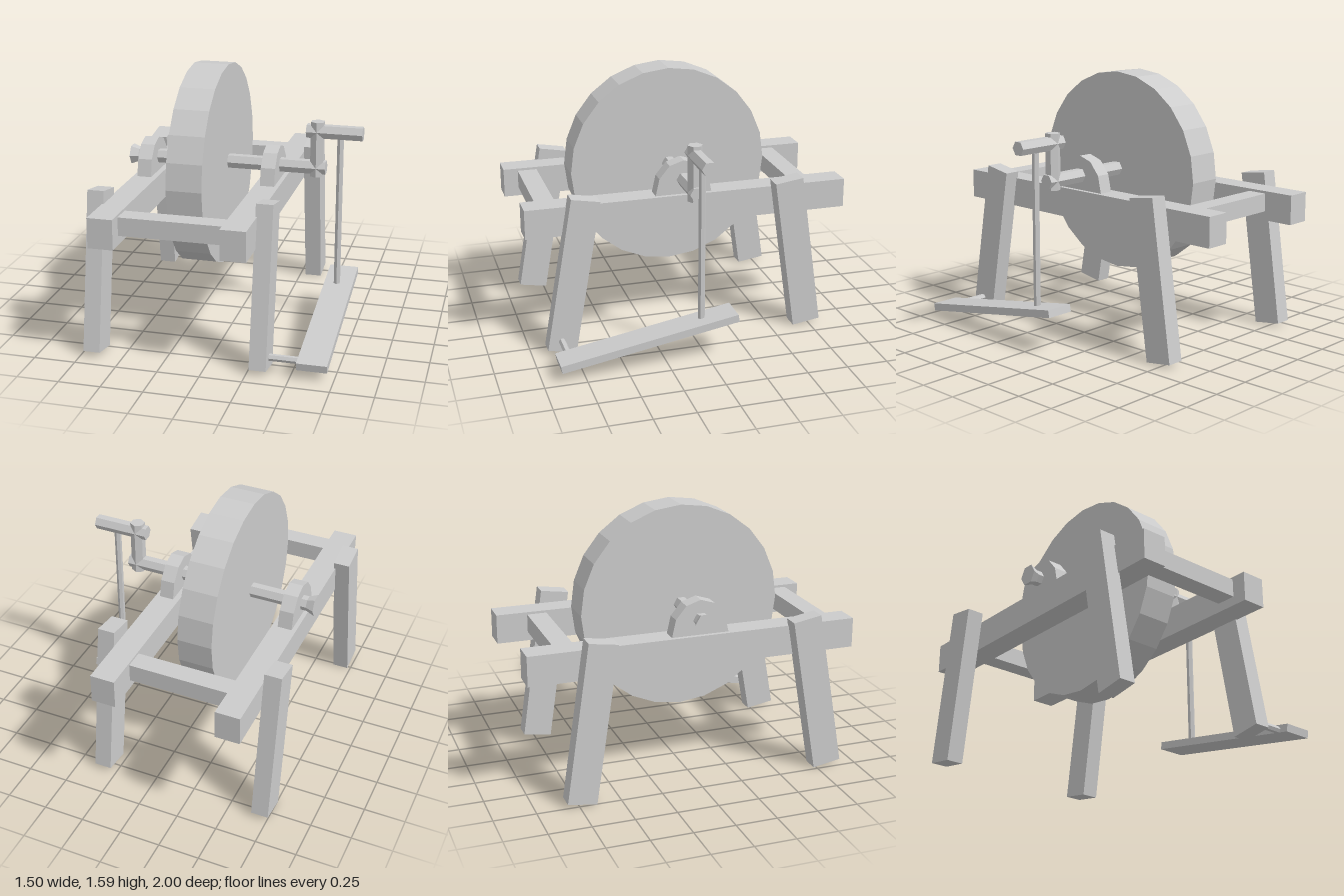
import * as THREE from 'three';

export function createModel() {
  const model = new THREE.Group();
  model.name = 'treadleGrindstone';
  const material = new THREE.MeshStandardMaterial({ color: 0xcccccc, flatShading: true });

  const MID = -0.1825; // the frame is mirrored about this x
  const AXLE_Z = 0.03;

  function add(name, geometry, x, y, z, tilt = 0) {
    const mesh = new THREE.Mesh(geometry, material);
    mesh.name = name;
    mesh.position.set(x, y, z);
    mesh.rotation.x = tilt;
    model.add(mesh);
    return mesh;
  }
  const box = (w, h, d) => new THREE.BoxGeometry(w, h, d);

  // Cylinder lying along x from x0 to x1 (r0 at x0, r1 at x1)
  function barX(name, x0, x1, y, z, r0, r1 = r0, sides = 6) {
    const geometry = new THREE.CylinderGeometry(r0, r1, x1 - x0, sides).rotateZ(Math.PI / 2);
    return add(name, geometry, (x0 + x1) / 2, y, z);
  }
  // Upright hexagonal rod from y0 to y1
  function barY(name, x, y0, y1, z, r) {
    return add(name, new THREE.CylinderGeometry(r, r, y1 - y0, 6), x, (y0 + y1) / 2, z);
  }
  // Leg whose centre line runs from (yTop, zTop) to (yFoot, zFoot)
  function leg(name, x, width, yTop, zTop, yFoot, zFoot) {
    const dy = yTop - yFoot, dz = zTop - zFoot;
    add(name, box(width, Math.hypot(dy, dz), 0.175), x,
      (yTop + yFoot) / 2, (zTop + zFoot) / 2, Math.atan2(dz, dy));
  }

  // Half-round bearing block, six facets over the top
  const arch = new THREE.Shape();
  for (let i = 0; i <= 6; i++) {
    const a = (i / 6) * Math.PI;
    const px = 0.174 * Math.cos(a), py = 0.21 * Math.sin(a);
    if (i === 0) arch.moveTo(px, py);
    else arch.lineTo(px, py);
  }
  arch.closePath();
  const bearing = new THREE.ExtrudeGeometry(arch, { depth: 0.088, bevelEnabled: false });
  bearing.translate(0, 0, -0.044).rotateY(Math.PI / 2);

  // Rails, bearings and legs on both sides
  for (const [side, s] of [['left', 1], ['right', -1]]) {
    add(side + 'Rail', box(0.15, 0.18, 2), MID + s * 0.3825, 0.81, 0);
    add(side + 'Bearing', bearing, MID + s * 0.387, 0.9, AXLE_Z);
    leg(side + 'FrontLeg', MID + s * 0.4985, 0.1, 0.959, 0.654, 0.016, 0.82);
    leg(side + 'BackLeg', MID + s * 0.52, 0.105, 0.963, -0.593, 0.014, -0.733);
  }

  // Cross bars between the rails
  add('frontCrossBar', box(0.615, 0.11, 0.12), MID, 0.83, 0.85);
  add('backCrossBar', box(0.615, 0.11, 0.12), MID, 0.83, -0.75);

  // Grinding wheel
  barX('grindstone', -0.29, -0.076, 0.975, AXLE_Z, 0.618, 0.618, 24);

  // Axle with flared end, and crank
  barX('axle', -0.7, 0.53, 0.99, AXLE_Z, 0.045);
  barX('axleFlare', -0.7, -0.65, 0.99, AXLE_Z, 0.065, 0.045);
  barY('crankArm', 0.475, 0.935, 1.275, AXLE_Z, 0.045);
  barX('crankHandle', 0.41, 0.75, 1.215, AXLE_Z, 0.045);

  // Treadle, its pivot and the connecting rod
  barY('connectingRod', 0.615, 0.245, 1.2, AXLE_Z, 0.021);
  add('treadle', box(0.177, 0.046, 1.08), 0.626, 0.17, 0.36, 0.171);
  barX('treadlePivot', 0.3, 0.6, 0.083, 0.82, 0.021);

  return model;
}
